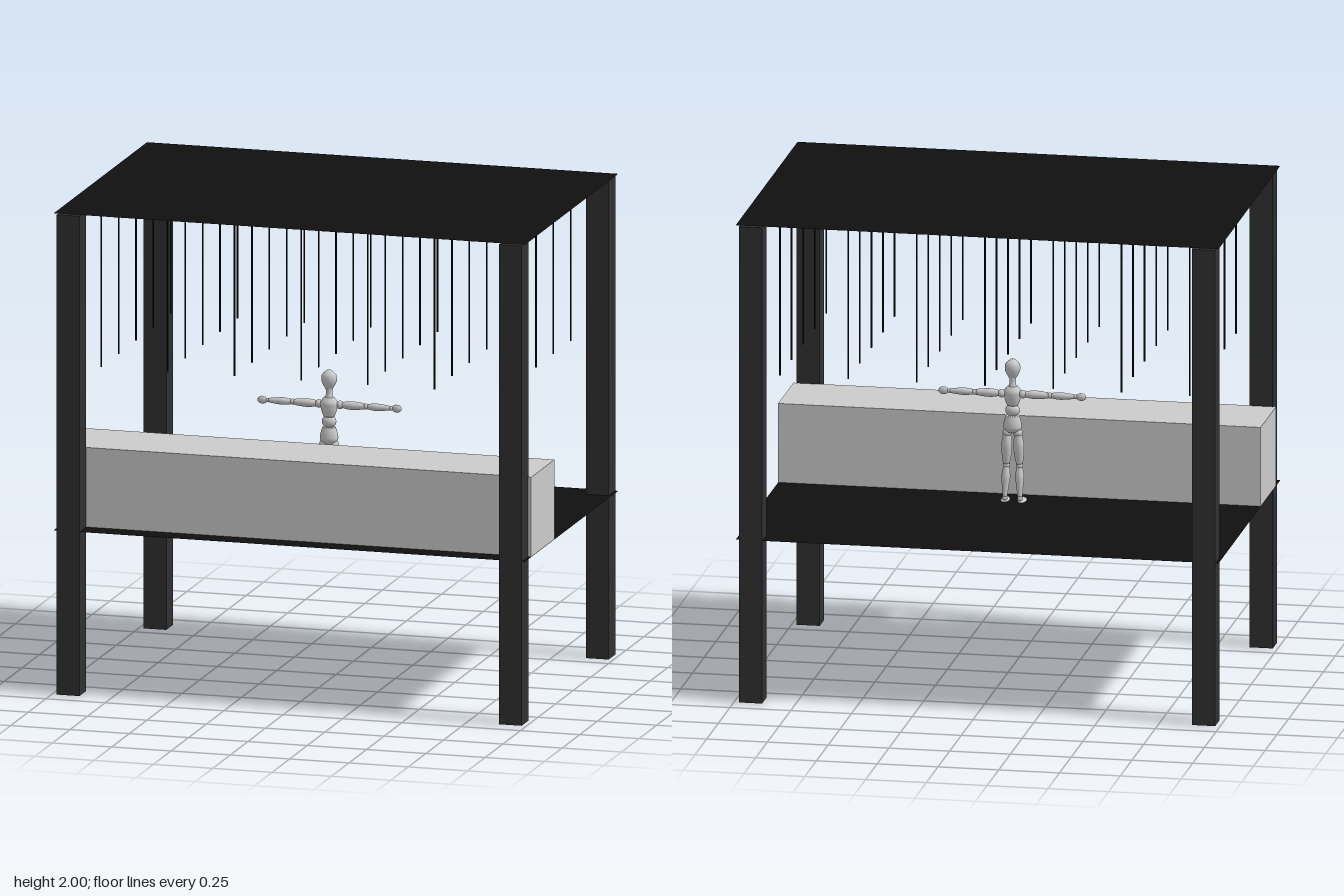
import * as THREE from 'three';

const V = (x, y, z) => new THREE.Vector3(x, y, z);
const grey = new THREE.MeshStandardMaterial({ color: 0xcccccc });
const dark = new THREE.MeshStandardMaterial({ color: 0x303030 });
const black = new THREE.MeshStandardMaterial({ color: 0x101010, side: THREE.DoubleSide });

function add(parent, name, geometry, material, x = 0, y = 0, z = 0) {
  const mesh = new THREE.Mesh(geometry, material);
  mesh.name = name;
  mesh.position.set(x, y, z);
  parent.add(mesh);
  return mesh;
}

// Ellipsoid joint or head
function ball(parent, name, p, rx, ry = rx, rz = rx) {
  add(parent, name, new THREE.SphereGeometry(1, 20, 14), grey, p.x, p.y, p.z).scale.set(rx, ry, rz);
}

// Turned wooden piece from a to b; radii are spread evenly along its length
function turned(parent, name, a, b, radii, depth = 1) {
  const dir = b.clone().sub(a), n = radii.length - 1;
  const inner = new THREE.SplineCurve(radii.map((r, i) => new THREE.Vector2(r, dir.length() * i / n))).getPoints(16);
  const profile = [new THREE.Vector2(0, 0), ...inner, new THREE.Vector2(0, dir.length())];
  const mesh = add(parent, name, new THREE.LatheGeometry(profile, 20), grey, a.x, a.y, a.z);
  mesh.quaternion.setFromUnitVectors(V(0, 1, 0), dir.normalize());
  mesh.scale.z = depth;
}

// Jointed figure with arms stretched sideways
function buildFigure() {
  const figure = new THREE.Group();
  figure.name = 'figure';
  const z = 0.098;
  turned(figure, 'head', V(0, 1.203, z), V(0, 1.286, z), [0.012, 0.022, 0.03, 0.032, 0.027, 0.008], 0.85);
  turned(figure, 'neck', V(0, 1.165, z), V(0, 1.21, z), [0.018, 0.013, 0.014]);
  turned(figure, 'chest', V(0, 1.092, z), V(0, 1.172, z), [0.022, 0.03, 0.035, 0.036, 0.022], 0.8);
  ball(figure, 'waist', V(0, 1.072, z), 0.03, 0.026, 0.024);
  turned(figure, 'hips', V(0, 0.98, z), V(0, 1.05, z), [0.024, 0.037, 0.037, 0.033, 0.027], 0.8);

  for (const [side, s] of [['left', 1], ['right', -1]]) {
    const arm = new THREE.Group(), leg = new THREE.Group();
    arm.name = side + 'Arm';
    leg.name = side + 'Leg';
    figure.add(arm, leg);
    const A = (x) => V(s * x, 1.142, 0.092);
    ball(arm, 'shoulder', A(0.044), 0.017);
    turned(arm, 'upperArm', A(0.054), A(0.148), [0.012, 0.017, 0.016, 0.012]);
    ball(arm, 'elbow', A(0.155), 0.012);
    turned(arm, 'forearm', A(0.163), A(0.255), [0.011, 0.015, 0.013, 0.009]);
    ball(arm, 'wrist', A(0.26), 0.009);
    ball(arm, 'hand', A(0.283), 0.021, 0.016, 0.01);

    ball(leg, 'hipJoint', V(s * 0.022, 0.978, z), 0.019);
    turned(leg, 'thigh', V(s * 0.023, 0.97, z), V(s * 0.027, 0.848, 0.106), [0.016, 0.022, 0.02, 0.014]);
    ball(leg, 'knee', V(s * 0.027, 0.84, 0.106), 0.015);
    turned(leg, 'shin', V(s * 0.027, 0.832, 0.106), V(s * 0.031, 0.712, 0.094), [0.013, 0.018, 0.014, 0.01]);
    ball(leg, 'ankle', V(s * 0.031, 0.705, 0.094), 0.011);
    // Flat-soled foot pointing forward
    const foot = new THREE.SphereGeometry(1, 20, 8, 0, Math.PI * 2, 0, Math.PI / 2);
    add(leg, 'foot', foot, grey, s * 0.035, 0.688, 0.125).scale.set(0.018, 0.012, 0.041);
    const sole = add(leg, 'sole', new THREE.CircleGeometry(1, 20), grey, s * 0.035, 0.688, 0.125);
    sole.rotation.x = Math.PI / 2;
    sole.scale.set(0.018, 0.041, 1);
  }
  return figure;
}

export function createModel() {
  const model = new THREE.Group();
  model.name = 'stage';

  // Corner posts
  for (const x of [-0.932, 0.932])
    for (const z of [-0.617, 0.617])
      add(model, 'post', new THREE.BoxGeometry(0.096, 1.99, 0.096), dark, x, 0.995, z);

  // Thin floor and roof sheets
  for (const [name, y] of [['floor', 0.68], ['roof', 1.995]])
    add(model, name, new THREE.PlaneGeometry(1.986, 1.324), black, 0, y, 0).rotation.x = -Math.PI / 2;

  // Long block along the front edge
  add(model, 'counter', new THREE.BoxGeometry(1.986, 0.33, 0.33), grey, 0, 0.846, 0.408);

  // Grid of rods hanging from the roof
  const rods = new THREE.Group();
  rods.name = 'hangingRods';
  model.add(rods);
  const rod = new THREE.CylinderGeometry(0.0035, 0.0035, 0.665, 8);
  for (let i = -3; i <= 3; i++)
    for (let k = -2; k <= 2; k++)
      add(rods, 'rod', rod, black, i * 0.281, 1.6625, k * 0.247);

  model.add(buildFigure());
  return model;
}
